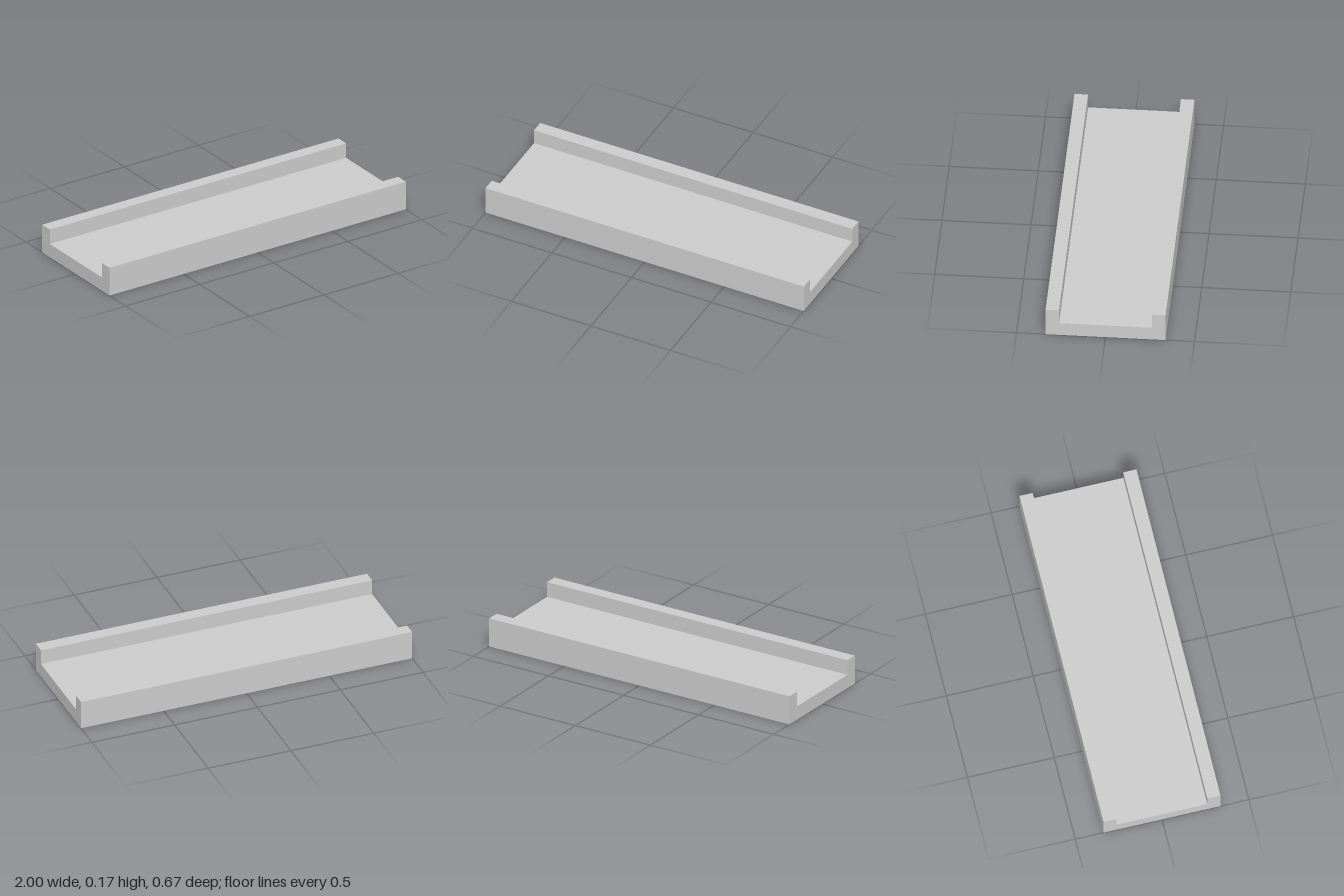
import * as THREE from 'three';

const LENGTH = 2;
const HALF_WIDTH = 0.337;
const INNER_HALF_WIDTH = 0.261;
const HEIGHT = 0.172;
const FLOOR = 0.082;

export function createModel() {
  const group = new THREE.Group();
  group.name = 'channel';

  // U-shaped cross-section: floor slab with a raised kerb along each long side
  const profile = new THREE.Shape([
    [-HALF_WIDTH, 0],
    [HALF_WIDTH, 0],
    [HALF_WIDTH, HEIGHT],
    [INNER_HALF_WIDTH, HEIGHT],
    [INNER_HALF_WIDTH, FLOOR],
    [-INNER_HALF_WIDTH, FLOOR],
    [-INNER_HALF_WIDTH, HEIGHT],
    [-HALF_WIDTH, HEIGHT],
  ].map(([x, y]) => new THREE.Vector2(x, y)));

  // Extrude, centre, and turn the length onto the x axis
  const geometry = new THREE.ExtrudeGeometry(profile, { depth: LENGTH, bevelEnabled: false });
  geometry.translate(0, 0, -LENGTH / 2);
  geometry.rotateY(Math.PI / 2);

  const body = new THREE.Mesh(geometry, new THREE.MeshStandardMaterial({ color: 0xcccccc }));
  body.name = 'channelBody';
  group.add(body);
  return group;
}
